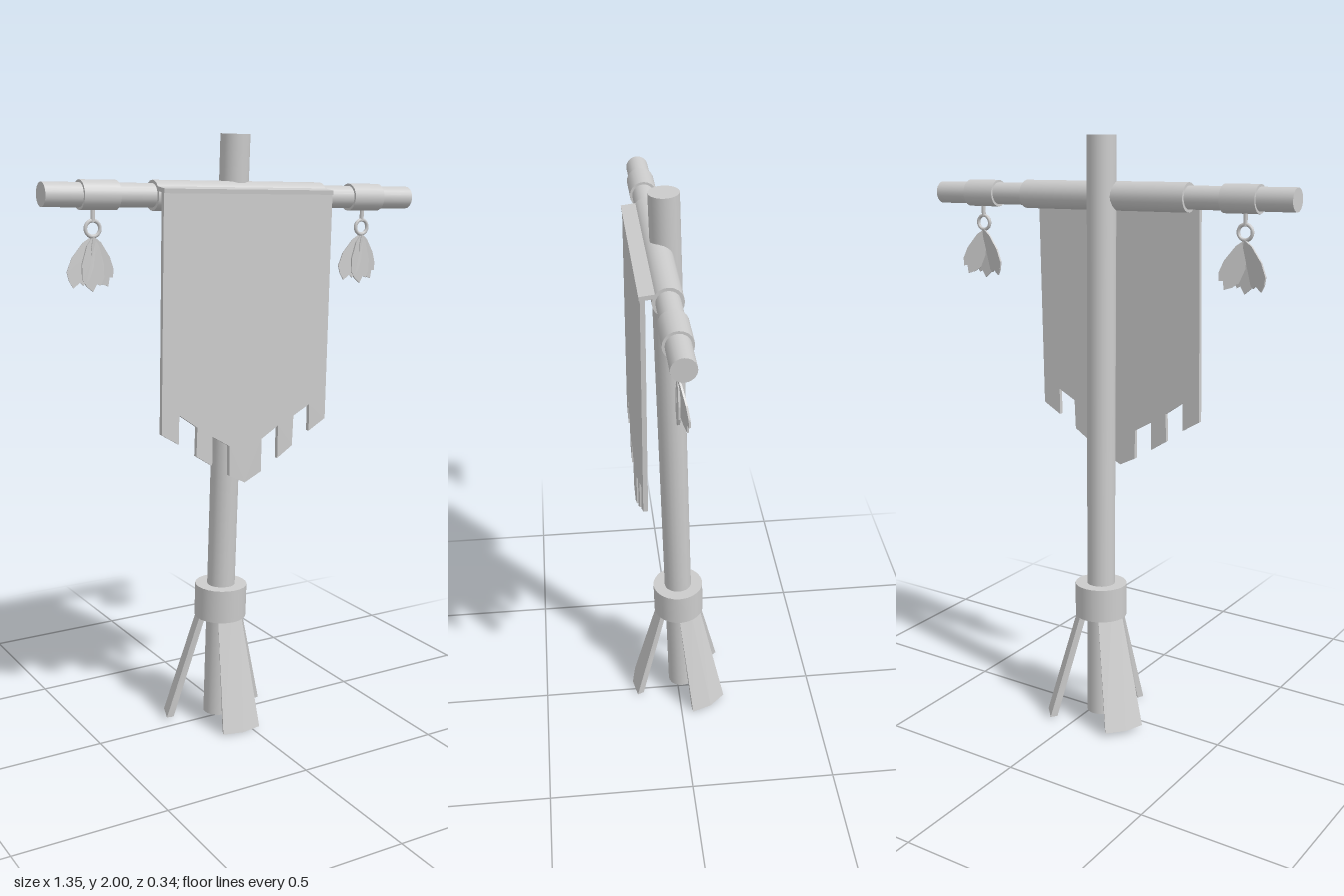
import * as THREE from 'three';

const material = new THREE.MeshStandardMaterial({ color: 0xcccccc });
const flat = new THREE.MeshStandardMaterial({ color: 0xcccccc, flatShading: true });

function add(parent, name, geometry, mat = material) {
  const mesh = new THREE.Mesh(geometry, mat);
  mesh.name = name;
  parent.add(mesh);
  return mesh;
}

function group(parent, name) {
  const g = new THREE.Group();
  g.name = name;
  parent.add(g);
  return g;
}

// Flat plate cut from an outline, centred on z = 0
function plate(points, depth) {
  const shape = new THREE.Shape(points.map(([x, y]) => new THREE.Vector2(x, y)));
  const geo = new THREE.ExtrudeGeometry(shape, { depth, bevelEnabled: false });
  return geo.translate(0, 0, -depth / 2);
}

// Curved foot: a box bent round the pole, flaring towards the ground
function footGeometry() {
  const geo = new THREE.BoxGeometry(1, 1, 1, 2, 1, 1);
  const p = geo.attributes.position;
  for (let i = 0; i < p.count; i++) {
    const t = p.getY(i) + 0.5;
    const angle = p.getX(i) * 2 * THREE.MathUtils.lerp(0.39, 0.6, t);
    const r = THREE.MathUtils.lerp(0.188, 0.08, t) - (0.5 - p.getZ(i)) * 0.025;
    p.setXYZ(i, Math.sin(angle) * r, 0.006 + t * 0.385, Math.cos(angle) * r);
  }
  geo.computeVertexNormals();
  return geo;
}

// Ring on a short pin, with three fanned leaves hanging from it
function addTassel(parent, name, x) {
  const tassel = group(parent, name);
  tassel.position.set(x, 0, -0.006);
  add(tassel, 'pin', new THREE.CylinderGeometry(0.007, 0.007, 0.06, 8)).position.y = -0.05;
  add(tassel, 'ring', new THREE.TorusGeometry(0.024, 0.006, 8, 20)).position.y = -0.1;
  const outline = [[0, 0], [0.02, -0.03], [0.036, -0.085], [0.037, -0.125], [0.026, -0.15],
    [0.014, -0.144], [0, -0.168], [-0.02, -0.152], [-0.035, -0.13], [-0.036, -0.085], [-0.02, -0.03]];
  [-1, 0, 1].forEach((k) => {
    const leaf = add(tassel, 'leaf', plate(outline, 0.006), flat);
    leaf.position.set(0, -0.122, k * 0.003);
    leaf.rotation.set(k * 0.06, k * 0.25, k * 0.38);
  });
}

export function createModel() {
  const model = new THREE.Group();
  model.name = 'bannerStand';

  // Leaning pole with collar and three feet
  const stand = group(model, 'stand');
  stand.position.set(-0.04, 0, -0.017);
  stand.rotation.set(0.03, 0, -0.02);
  add(stand, 'pole', new THREE.CylinderGeometry(0.048, 0.048, 1.99, 20)).position.y = 1.005;
  add(stand, 'collar', new THREE.CylinderGeometry(0.089, 0.089, 0.115, 24)).position.y = 0.43;
  const foot = footGeometry();
  for (let i = 0; i < 3; i++) add(stand, 'foot', foot, flat).rotation.y = i * Math.PI * 2 / 3;

  // Slightly crooked crossbar with wrapped sleeve and end bands
  const cross = group(model, 'crossbar');
  cross.position.set(0, 1.805, 0.064);
  cross.rotation.set(0, 0.011, -0.024);
  const rod = (name, r, length, x) => {
    const geo = new THREE.CylinderGeometry(r, r, length, 20).rotateZ(Math.PI / 2);
    add(cross, name, geo).position.x = x;
  };
  rod('bar', 0.037, 1.35, 0);
  rod('sleeve', 0.047, 0.62, 0);
  rod('leftBand', 0.045, 0.12, 0.49);
  rod('rightBand', 0.045, 0.12, -0.494);
  addTassel(cross, 'leftTassel', 0.495);
  addTassel(cross, 'rightTassel', -0.507);

  // Fold of cloth from the sleeve to the hanging panel
  const fold = add(cross, 'clothFold', new THREE.BoxGeometry(0.62, 0.014, 0.06));
  fold.position.set(0, 0.019, 0.054);
  fold.rotation.x = 0.12;

  // Hanging cloth with a ragged, pointed hem
  const cloth = plate([
    [-0.31, 1.834], [-0.328, 1.075], [-0.267, 1.037], [-0.265, 1.132], [-0.2, 1.085],
    [-0.204, 0.99], [-0.146, 0.952], [-0.144, 1.048], [-0.081, 1.01], [-0.081, 0.91],
    [-0.023, 0.88], [0.04, 0.91], [0.042, 1.02], [0.106, 1.058], [0.104, 0.947],
    [0.162, 0.984], [0.167, 1.085], [0.23, 1.118], [0.229, 1.026], [0.294, 1.063], [0.31, 1.819],
  ], 0.015);
  const banner = add(model, 'cloth', cloth, flat);
  banner.position.z = 0.137;
  banner.rotation.y = 0.011;

  return model;
}
